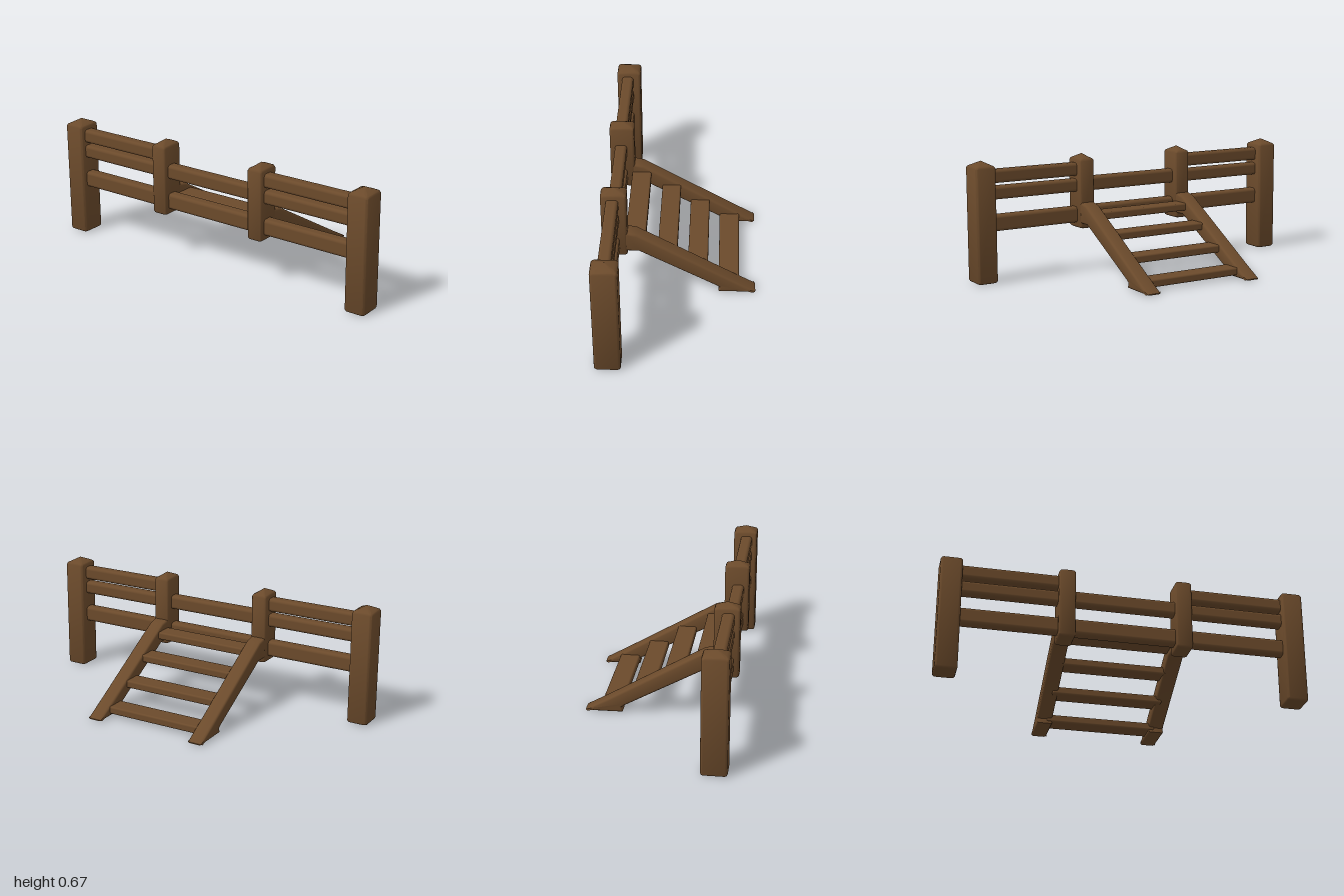
import * as THREE from 'three';
import { toCreasedNormals } from 'three/addons/utils/BufferGeometryUtils.js';
import { RoundedBoxGeometry } from 'three/addons/geometries/RoundedBoxGeometry.js';

const POST_X = -0.35;
const INNER_Z = 0.32;
const OUTER_Z = 0.94;

// Rounded-corner post lofted from rings, with a low pyramid cap
function postGeometry(w, d, y0, y1, peak) {
  const r = 0.014, cornerSteps = 3;
  const rings = [[y0, 0.012], [y0 + 0.004, 0.004], [y0 + 0.012, 0], [y1 - 0.012, 0], [y1 - 0.002, 0.005], [y1 + 0.005, 0.018]];
  const pos = [], index = [];
  const n = 4 * (cornerSteps + 1);
  for (const [y, inset] of rings) {
    for (let c = 0; c < 4; c++) {
      const sx = c === 0 || c === 3 ? 1 : -1, sz = c < 2 ? 1 : -1;
      for (let k = 0; k <= cornerSteps; k++) {
        const a = (c + k / cornerSteps) * Math.PI / 2;
        pos.push(sx * (w / 2 - inset - r) + r * Math.cos(a), y, sz * (d / 2 - inset - r) + r * Math.sin(a));
      }
    }
  }
  for (let i = 0; i < rings.length - 1; i++) {
    for (let j = 0; j < n; j++) {
      const a = i * n + j, b = i * n + (j + 1) % n;
      index.push(a, a + n, b, b, a + n, b + n);
    }
  }
  const bottom = pos.length / 3, top = bottom + 1, last = (rings.length - 1) * n;
  pos.push(0, y0, 0, 0, peak, 0);
  for (let j = 0; j < n; j++) {
    const k = (j + 1) % n;
    index.push(bottom, j, k, top, last + k, last + j);
  }
  const g = new THREE.BufferGeometry();
  g.setAttribute('position', new THREE.Float32BufferAttribute(pos, 3));
  g.setIndex(index);
  return toCreasedNormals(g, 0.7);
}

// Side beam of the ramp: short level top, long slope, flat foot
function stringerGeometry(width) {
  const bevel = 0.012;
  const outline = [[-0.32, 0.28], [-0.222, 0.28], [0.2, 0.048], [0.217, 0.036], [0.212, 0.008],
    [0.415, 0.006], [0.415, 0.012], [0.3, 0.077], [-0.23, 0.387], [-0.28, 0.398], [-0.32, 0.398]];
  const shape = new THREE.Shape(outline.map(([x, y]) => new THREE.Vector2(x, y)));
  const g = new THREE.ExtrudeGeometry(shape, {
    depth: width - 2 * bevel, bevelEnabled: true, bevelThickness: bevel,
    bevelSize: bevel, bevelOffset: -bevel, bevelSegments: 3,
  });
  g.translate(0, 0, bevel - width / 2);
  return toCreasedNormals(g, 0.7);
}

export function createModel() {
  const model = new THREE.Group();
  model.name = 'fenceWithSteps';
  const wood = new THREE.MeshStandardMaterial({ color: 0x6b4a2b });
  wood.name = 'brown wood';

  const add = (name, geometry, x = 0, y = 0, z = 0) => {
    const mesh = new THREE.Mesh(geometry, wood);
    mesh.name = name;
    mesh.position.set(x, y, z);
    model.add(mesh);
  };
  // Soft-edged beam given by its x, y and z ranges
  const beam = (name, x0, x1, y0, y1, z0, z1, r = 0.013) => add(name,
    new RoundedBoxGeometry(x1 - x0, y1 - y0, z1 - z0, 3, r),
    (x0 + x1) / 2, (y0 + y1) / 2, (z0 + z1) / 2);

  for (const s of [-1, 1]) {
    const side = s > 0 ? 'front' : 'back';
    // Tall end posts and short hanging inner posts
    add(side + 'EndPost', postGeometry(0.138, 0.118, 0.003, 0.645, 0.672), POST_X, 0, s * OUTER_Z);
    add(side + 'InnerPost', postGeometry(0.138, 0.09, 0.25, 0.645, 0.67), POST_X, 0, s * INNER_Z);
    // Rails of the outer fence panels
    [[0.545, 0.62], [0.455, 0.528], [0.28, 0.37]].forEach(([y0, y1], i) => {
      const z = [s * 0.3, s * 0.92].sort((a, b) => a - b);
      beam(side + 'Rail' + (i + 1), -0.39, -0.323, y0, y1, z[0], z[1], 0.018);
    });
    // Ramp side beam
    add(side + 'Stringer', stringerGeometry(0.086), 0, 0, s * INNER_Z);
  }

  // Middle panel rails
  beam('middleUpperRail', -0.39, -0.323, 0.455, 0.535, -0.3, 0.3, 0.018);
  beam('middleLowerRail', -0.39, -0.323, 0.28, 0.37, -0.3, 0.3, 0.018);

  // Treads
  [[-0.295, -0.185, 0.308], [-0.122, -0.015, 0.22], [0.042, 0.152, 0.118], [0.212, 0.325, 0.02]]
    .forEach(([x0, x1, y], i) => beam('tread' + (i + 1), x0, x1, y, y + 0.043, -0.31, 0.31, 0.01));

  return model;
}
